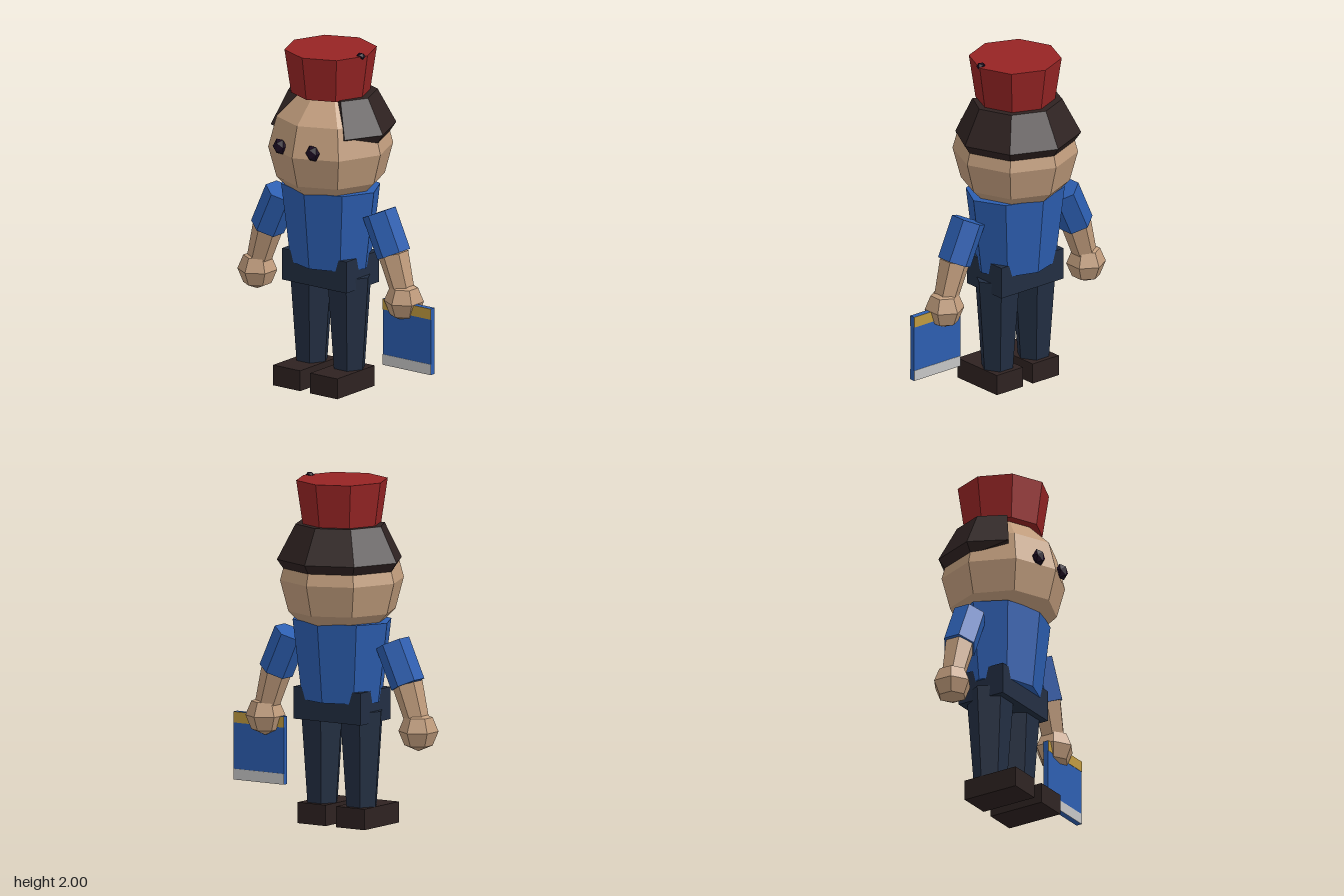
import * as THREE from 'three';

const mat = (name, color) => {
  const m = new THREE.MeshStandardMaterial({ color, flatShading: true });
  m.name = name;
  return m;
};

// Wrap-around hair: octagonal rings, left open over the face
function hairGeometry() {
  const rings = [[1.73, 0], [1.73, 0.268], [1.53, 0.375], [1.465, 0.33], [1.5, 0.2]];
  const n = rings.length, pos = [], idx = [];
  for (let i = -3; i <= 3; i++) {
    const a = i * Math.PI / 4, front = Math.abs(i) === 3;
    rings.forEach(([y, r], j) => pos.push(
      Math.sin(a) * r,
      y + (front && j === 3 ? 0.045 : 0),
      -Math.cos(a) * r * (front ? 0.8 : 1)));
  }
  for (let i = 0; i < 6; i++) {
    for (let j = 0; j < n - 1; j++) {
      const a = i * n + j, b = a + n;
      idx.push(a, b, b + 1, a, b + 1, a + 1);
    }
  }
  // Front ends
  const e = 6 * n;
  for (let j = 1; j < n - 1; j++) idx.push(0, j, j + 1, e, e + j + 1, e + j);
  const g = new THREE.BufferGeometry();
  g.setAttribute('position', new THREE.Float32BufferAttribute(pos, 3));
  g.setIndex(idx);
  g.computeVertexNormals();
  return g;
}

export function createModel() {
  const skin = mat('skin', 0xc09c7c);
  const red = mat('hat red', 0x962424);
  const blue = mat('blue', 0x2c5eb0);
  const navy = mat('trouser navy', 0x222e42);
  const brown = mat('dark brown', 0x2e2221);
  const dark = mat('eye dark', 0x1c0c22);
  const gold = mat('gold', 0xbf9a40);
  const white = mat('pale grey', 0xc6c6c6);
  brown.side = THREE.DoubleSide;

  const model = new THREE.Group();
  const body = new THREE.Group();
  body.name = 'figure';
  body.position.set(-0.063, 0, 0.007);
  model.add(body);

  const add = (name, geo, material, x, y, z) => {
    const m = new THREE.Mesh(geo, material);
    m.name = name;
    m.position.set(x, y, z);
    body.add(m);
    return m;
  };
  const box = (name, material, x0, x1, y0, y1, z0, z1) => add(name,
    new THREE.BoxGeometry(x1 - x0, y1 - y0, z1 - z0), material,
    (x0 + x1) / 2, (y0 + y1) / 2, (z0 + z1) / 2);
  // Six-sided limb between two points in the xy plane
  const limb = (name, material, ax, ay, bx, by, rTop, rBottom) => {
    const d = new THREE.Vector3(ax - bx, ay - by, 0);
    const m = add(name, new THREE.CylinderGeometry(rTop, rBottom, d.length(), 6),
      material, (ax + bx) / 2, (ay + by) / 2, 0);
    m.quaternion.setFromUnitVectors(new THREE.Vector3(0, 1, 0), d.normalize());
  };

  // Head, hair and hat
  add('head', new THREE.SphereGeometry(0.357, 8, 6), skin, 0, 1.41, 0);
  add('hair', hairGeometry(), brown, 0, 0, 0);
  add('hat', new THREE.CylinderGeometry(0.264, 0.226, 0.255, 8), red, 0, 1.8525, 0);
  add('hatButton', new THREE.IcosahedronGeometry(0.028, 0), dark, 0.235, 1.977, 0.023)
    .scale.set(1, 0.8, 0.9);

  // Torso and hips
  add('torso', new THREE.CylinderGeometry(0.31, 0.25, 0.46, 8), blue, 0, 0.95, 0)
    .scale.z = 0.8;
  box('hips', navy, -0.232, 0.23, 0.605, 0.79, -0.15, 0.15);

  // Paired parts
  for (const s of [-1, 1]) {
    add('eye', new THREE.IcosahedronGeometry(0.05, 0), dark, s * 0.118, 1.45, 0.318)
      .scale.set(0.88, 1, 0.68);

    limb('sleeve', blue, s * 0.348, 1.072, s * 0.453, 0.842, 0.1, 0.1);
    limb('forearm', skin, s * 0.45, 0.845, s * 0.522, 0.62, 0.088, 0.068);
    add('hand', new THREE.SphereGeometry(0.114, 6, 4), skin, s * 0.526, 0.58, 0)
      .rotation.y = Math.PI / 2;

    // Legs taper down into the shoes
    const leg = add('leg', new THREE.CylinderGeometry(0.135, 0.094, 0.56, 6), navy,
      s * 0.134, 0.39, 0);
    leg.rotation.y = Math.PI / 6;
    box('shoe', brown, s * 0.133 - 0.097, s * 0.133 + 0.097, 0, 0.12, -0.11, 0.235);
  }

  // Book in the left hand, with painted bands on both covers
  box('book', blue, 0.403, 0.748, 0.19, 0.58, 0.005, 0.037);
  for (const z of [0.003, 0.037]) {
    box('bookTopBand', gold, 0.403, 0.748, 0.517, 0.58, z, z + 0.002);
    box('bookBottomBand', white, 0.403, 0.748, 0.19, 0.252, z, z + 0.002);
  }
  return model;
}
